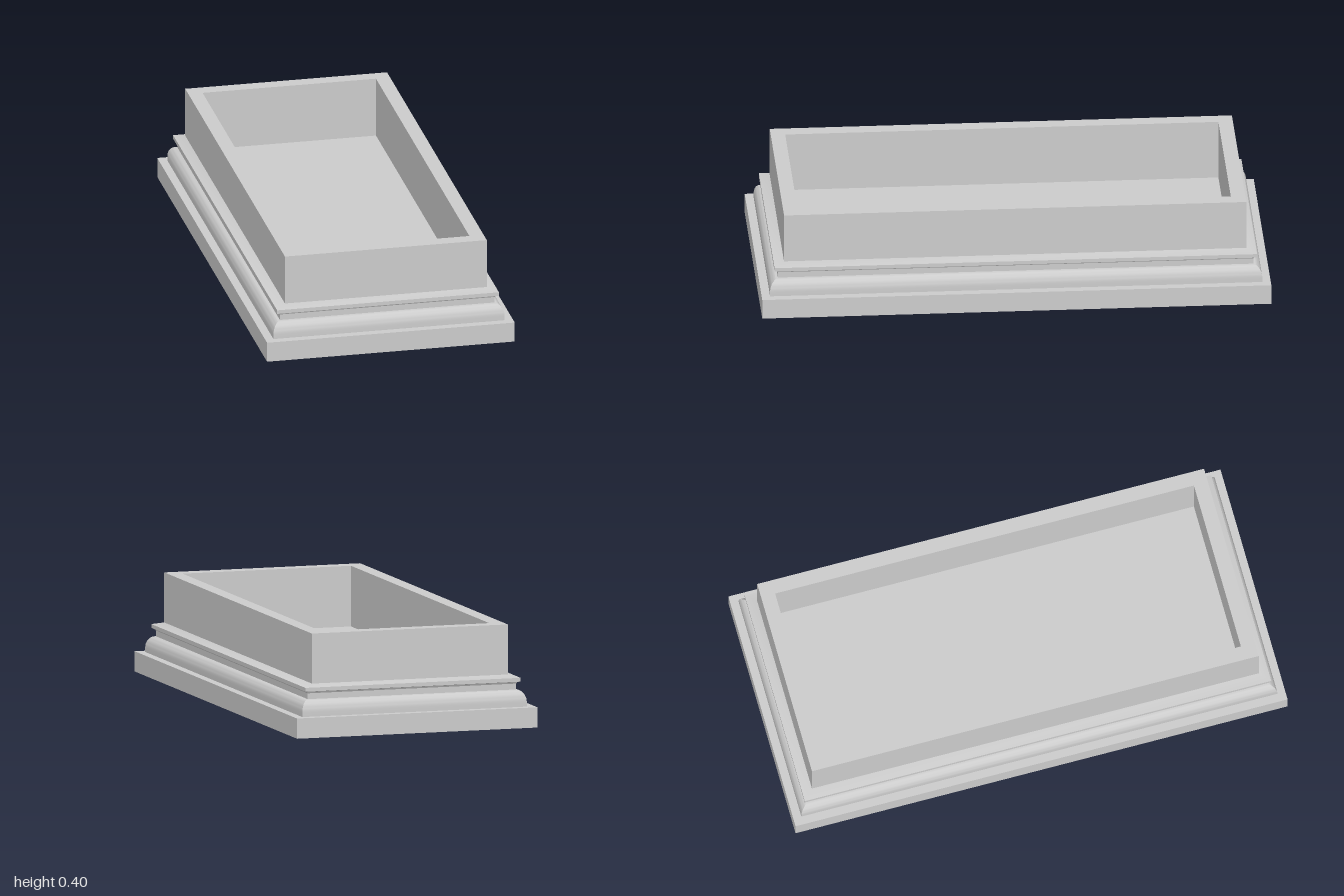
import * as THREE from 'three';
import { toCreasedNormals } from 'three/addons/utils/BufferGeometryUtils.js';

const HALF_X = 0.497, HALF_Z = 1;
const material = new THREE.MeshStandardMaterial({ color: 0xcccccc });

// Sweep a profile of [inset, y] points around the rectangle with mitred corners
function mouldingRing(name, profile) {
  const corners = [[1, 1], [1, -1], [-1, -1], [-1, 1]];
  const positions = [], index = [];
  for (const [inset, y] of profile) {
    for (const [sx, sz] of corners) {
      positions.push(sx * (HALF_X - inset), y, sz * (HALF_Z - inset));
    }
  }
  for (let r = 0; r < profile.length - 1; r++) {
    for (let i = 0; i < 4; i++) {
      const a = r * 4 + i, b = r * 4 + (i + 1) % 4;
      index.push(a, b, b + 4, a, b + 4, a + 4);
    }
  }
  const geometry = new THREE.BufferGeometry();
  geometry.setAttribute('position', new THREE.Float32BufferAttribute(positions, 3));
  geometry.setIndex(index);
  const mesh = new THREE.Mesh(toCreasedNormals(geometry, 0.5), material);
  mesh.name = name;
  return mesh;
}

// Solid rectangular slab between two heights
function slab(name, inset, y0, y1) {
  const geometry = new THREE.BoxGeometry(2 * (HALF_X - inset), y1 - y0, 2 * (HALF_Z - inset));
  const mesh = new THREE.Mesh(geometry, material);
  mesh.name = name;
  mesh.position.y = (y0 + y1) / 2;
  return mesh;
}

export function createModel() {
  const model = new THREE.Group();
  model.name = 'planterBase';

  model.add(slab('plinth', 0, 0, 0.08));

  // Rounded moulding: short upright face, then a quarter round
  const round = [[0.033, 0.08]];
  for (let i = 0; i <= 10; i++) {
    const t = (i / 10) * Math.PI / 2;
    round.push([0.066 - 0.033 * Math.cos(t), 0.098 + 0.047 * Math.sin(t)]);
  }
  model.add(mouldingRing('roundedMoulding', round));

  // Upright band above the round
  model.add(mouldingRing('neckBand', [[0.066, 0.145], [0.066, 0.168]]));

  // Projecting lip with undercut and sloped top
  model.add(mouldingRing('projectingLip', [
    [0.066, 0.168], [0.062, 0.175], [0.052, 0.177], [0.052, 0.192], [0.092, 0.202],
  ]));

  // Tray walls: outside, rim, inside
  model.add(mouldingRing('trayWalls', [
    [0.092, 0.2], [0.092, 0.4], [0.149, 0.4], [0.149, 0.16],
  ]));

  model.add(slab('trayFloor', 0.149, 0.08, 0.16));
  return model;
}
